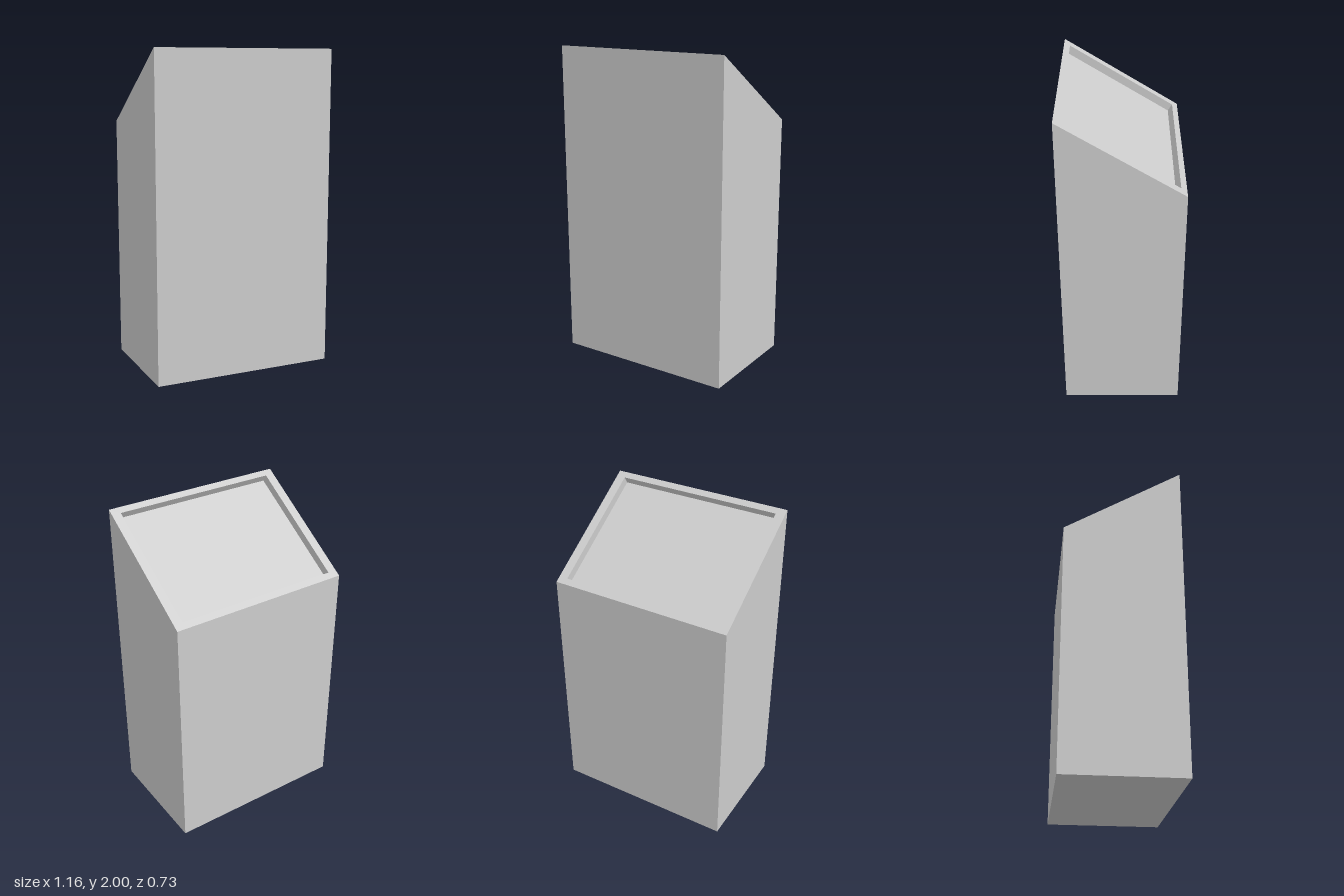
import * as THREE from 'three';

const HALF_W = 0.58, HALF_D = 0.365;       // outer footprint
const OPEN_W = 0.523, OPEN_D = 0.33;       // recess opening
const FRONT_H = 2, BACK_H = 1.545;         // top slopes down to the back
const RECESS = 0.051;                      // depth square to the slope

const slope = (FRONT_H - BACK_H) / (2 * HALF_D);
const topAt = (z) => (FRONT_H + BACK_H) / 2 + slope * z;
const inward = new THREE.Vector3(0, -1, slope).normalize().multiplyScalar(RECESS);

// Four corners, counterclockwise from above, at a height given by z
function ring(w, d, height) {
  return [[-w, d], [w, d], [w, -d], [-w, -d]].map(([x, z]) => new THREE.Vector3(x, height(z), z));
}

// Flat-faced quads from corner lists
function quadGeometry(quads) {
  const points = quads.flatMap(([a, b, c, d]) => [a, b, c, a, c, d]);
  const geometry = new THREE.BufferGeometry().setFromPoints(points);
  geometry.computeVertexNormals();
  return geometry;
}

// Band of four quads joining two rings
function band(a, b) {
  return a.map((p, i) => [p, a[(i + 1) % 4], b[(i + 1) % 4], b[i]]);
}

export function createModel() {
  const group = new THREE.Group();
  group.name = 'slantedPedestal';
  const grey = new THREE.MeshStandardMaterial({ color: 0xcccccc });
  grey.name = 'light grey';

  const base = ring(HALF_W, HALF_D, () => 0);
  const outerTop = ring(HALF_W, HALF_D, topAt);
  const opening = ring(OPEN_W, OPEN_D, topAt);
  const floor = opening.map((p) => p.clone().add(inward));

  const parts = {
    body: [...band(base, outerTop), [...base].reverse()],
    topRim: band(outerTop, opening),
    recessWalls: band(opening, floor),
    recessedPanel: [floor],
  };
  for (const [name, quads] of Object.entries(parts)) {
    const mesh = new THREE.Mesh(quadGeometry(quads), grey);
    mesh.name = name;
    group.add(mesh);
  }
  return group;
}
